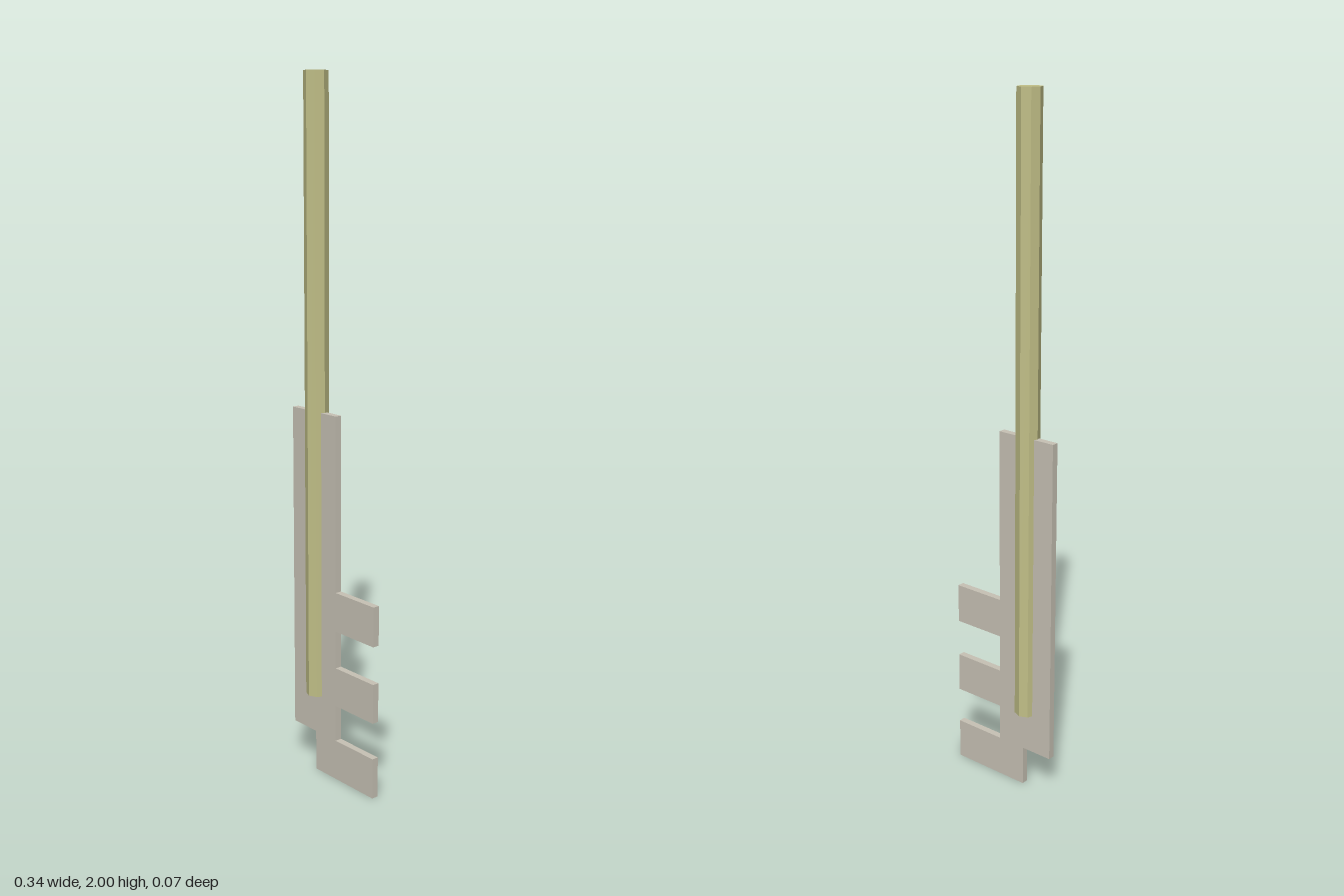
import * as THREE from 'three';

export function createModel() {
  const model = new THREE.Group();
  const brass = new THREE.MeshStandardMaterial({ color: 0xc2c088 });
  brass.name = 'dull brass';
  brass.flatShading = true;
  const steel = new THREE.MeshStandardMaterial({ color: 0xc8c2b5 });
  steel.name = 'warm grey';

  // Flat key blade: notched heel and three teeth on the left side
  const inner = 0.013, tip = 0.172;
  const outline = [[-0.173, 1.08], [-0.173, 0.12], [-0.075, 0.12], [-0.075, 0]];
  const teeth = [[0, 0.12], [0.228, 0.344], [0.455, 0.571]];
  teeth.forEach(([low, high], i) => {
    if (i > 0) outline.push([inner, low]);
    outline.push([tip, low], [tip, high], [inner, high]);
  });
  outline.push([inner, 1.08]);
  const shape = new THREE.Shape(outline.map(([x, y]) => new THREE.Vector2(x, y)));
  const thickness = 0.02;
  const bladeGeometry = new THREE.ExtrudeGeometry(shape, { depth: thickness, bevelEnabled: false });
  bladeGeometry.translate(0, 0, -thickness / 2);
  const blade = new THREE.Mesh(bladeGeometry, steel);
  blade.name = 'toothedBlade';
  model.add(blade);

  // Eight-sided shaft running through the blade
  const bottom = 0.237, top = 2;
  const shaft = new THREE.Mesh(new THREE.CylinderGeometry(0.034, 0.034, top - bottom, 8), brass);
  shaft.name = 'shaft';
  shaft.position.set(-0.079, (top + bottom) / 2, 0);
  model.add(shaft);

  return model;
}
